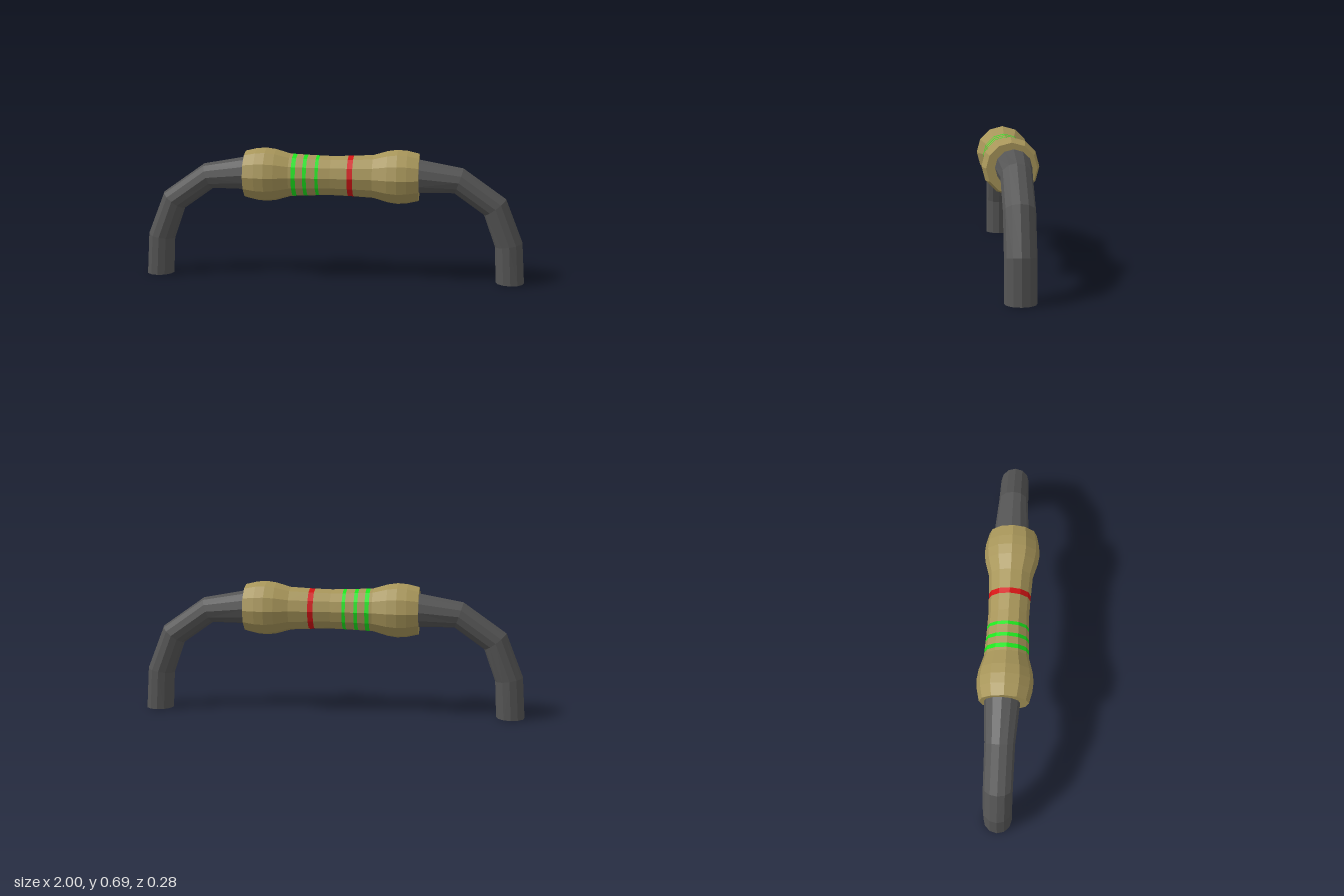
import * as THREE from 'three';

const SIDES = 12;
const AXIS_Y = 0.545;
const mat = (color) => new THREE.MeshStandardMaterial({ color, flatShading: true, roughness: 0.8 });

// half profile of the body: [distance from middle, radius]
const HALF = [[0, 0.103], [0.1, 0.106], [0.215, 0.112], [0.29, 0.134], [0.34, 0.141], [0.39, 0.137], [0.45, 0.123]];
const PROFILE = [...HALF.slice(1).reverse().map(([x, r]) => [-x, r]), ...HALF];

function radiusAt(x) {
  for (let i = 1; i < PROFILE.length; i++) {
    const [x0, r0] = PROFILE[i - 1], [x1, r1] = PROFILE[i];
    if (x <= x1) return r0 + (r1 - r0) * (x - x0) / (x1 - x0);
  }
  return PROFILE[PROFILE.length - 1][1];
}

// slice of the body between two x positions, with end caps at the tips
function slice(x0, x1, material, name) {
  const pts = [new THREE.Vector2(radiusAt(x0), x0)];
  for (const [x, r] of PROFILE) if (x > x0 + 1e-4 && x < x1 - 1e-4) pts.push(new THREE.Vector2(r, x));
  pts.push(new THREE.Vector2(radiusAt(x1), x1));
  if (x0 <= -0.45) pts.unshift(new THREE.Vector2(0, x0));
  if (x1 >= 0.45) pts.push(new THREE.Vector2(0, x1));
  const geo = new THREE.LatheGeometry(pts, SIDES).rotateZ(-Math.PI / 2);
  const mesh = new THREE.Mesh(geo, material);
  mesh.position.y = AXIS_Y;
  mesh.name = name;
  return mesh;
}

// bent wire: each ring is [outer x, outer y, inner x, inner y, half depth]
const RINGS = [
  [1.0, 0, 0.855, 0, 0.074],
  [0.985, 0.215, 0.845, 0.19, 0.074],
  [0.895, 0.44, 0.785, 0.355, 0.074],
  [0.675, 0.595, 0.63, 0.465, 0.075],
  [0.44, 0.638, 0.44, 0.462, 0.09],
];

function lead(side, material, name) {
  const pos = [], index = [];
  for (const [ox, oy, ix, iy, depth] of RINGS) {
    for (let k = 0; k < SIDES; k++) {
      const a = k / SIDES * Math.PI * 2, t = (1 + Math.cos(a)) / 2;
      pos.push(side * (ix + (ox - ix) * t), iy + (oy - iy) * t, -0.009 + depth * Math.sin(a));
    }
  }
  const tri = (a, b, c) => (side > 0 ? index.push(a, c, b) : index.push(a, b, c));
  for (let r = 0; r < RINGS.length - 1; r++) {
    for (let k = 0; k < SIDES; k++) {
      const n = (k + 1) % SIDES, a = r * SIDES + k, b = r * SIDES + n;
      tri(a, b, b + SIDES);
      tri(a, b + SIDES, a + SIDES);
    }
  }
  // foot and hidden end caps
  const last = (RINGS.length - 1) * SIDES;
  for (let k = 1; k < SIDES - 1; k++) {
    tri(0, k + 1, k);
    tri(last, last + k, last + k + 1);
  }
  const geo = new THREE.BufferGeometry();
  geo.setAttribute('position', new THREE.Float32BufferAttribute(pos, 3));
  geo.setIndex(index);
  geo.computeVertexNormals();
  const mesh = new THREE.Mesh(geo, material);
  mesh.name = name;
  return mesh;
}

export function createModel() {
  const group = new THREE.Group();
  group.name = 'resistor';
  const tan = mat(0xa8965a), green = mat(0x1ee61e), red = mat(0xd41414), dark = mat(0x555555);

  // body split by flush colour bands
  const bands = [
    [-0.2, -0.178, green, 'greenBand1'],
    [-0.141, -0.122, green, 'greenBand2'],
    [-0.078, -0.061, green, 'greenBand3'],
    [0.087, 0.115, red, 'redBand'],
  ];
  let x = -0.45;
  bands.forEach(([x0, x1, material, name], i) => {
    group.add(slice(x, x0, tan, 'body' + (i + 1)), slice(x0, x1, material, name));
    x = x1;
  });
  group.add(slice(x, 0.45, tan, 'body5'));

  // wire leads
  group.add(lead(1, dark, 'leftLead'), lead(-1, dark, 'rightLead'));
  return group;
}
